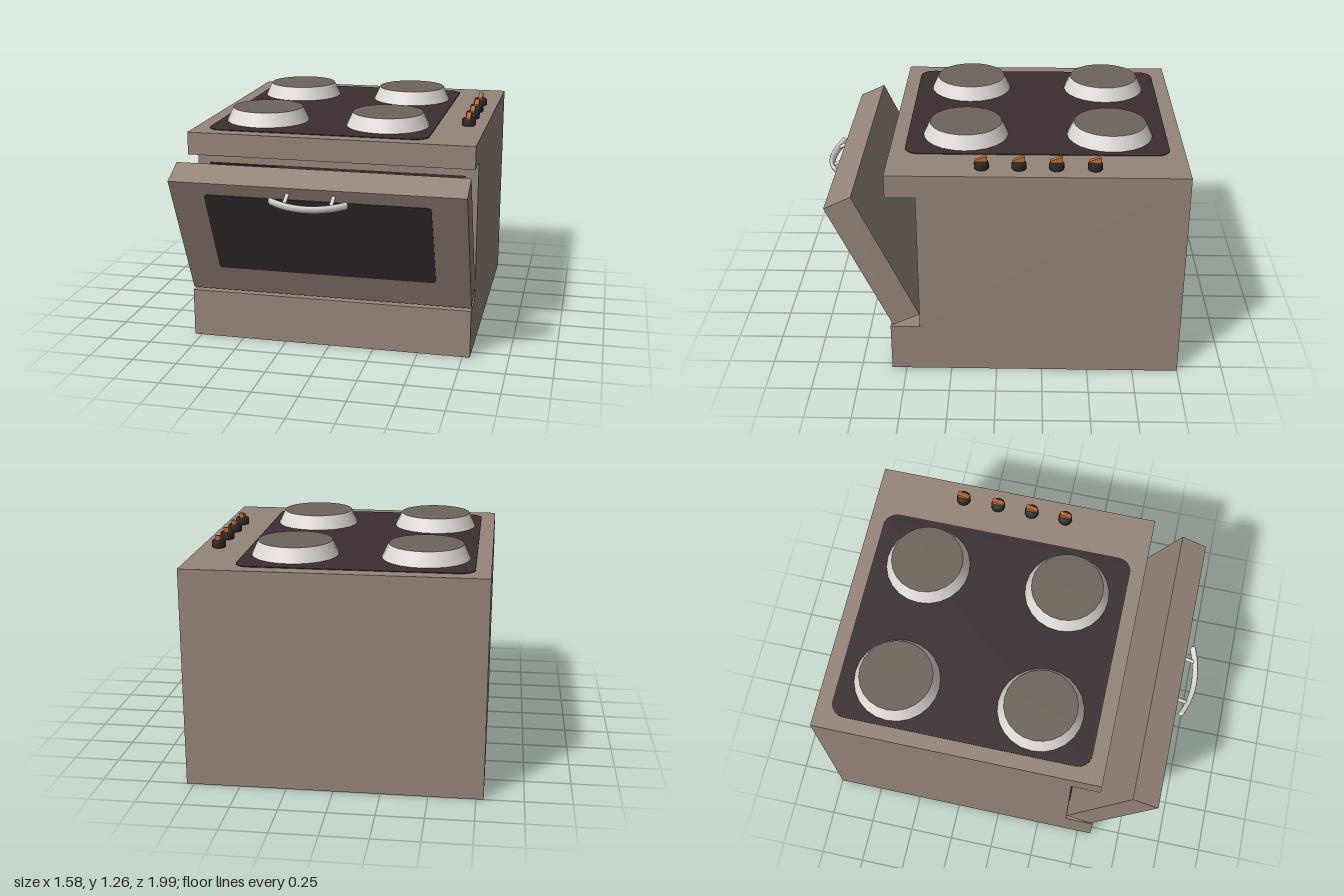
import * as THREE from 'three';

const mat = (name, color, side = THREE.FrontSide) => {
  const m = new THREE.MeshStandardMaterial({ color, side });
  m.name = name;
  return m;
};

// Rounded rectangle outline
function roundedRect(x0, y0, x1, y1, r) {
  const s = new THREE.Shape();
  s.absarc(x1 - r, y1 - r, r, 0, Math.PI / 2);
  s.absarc(x0 + r, y1 - r, r, Math.PI / 2, Math.PI);
  s.absarc(x0 + r, y0 + r, r, Math.PI, Math.PI * 1.5);
  s.absarc(x1 - r, y0 + r, r, Math.PI * 1.5, Math.PI * 2);
  return s;
}

export function createModel() {
  const enamel = mat('brown enamel', 0x968579, THREE.DoubleSide);
  const dark = mat('dark glass', 0x3a2e30, THREE.DoubleSide);
  const metal = mat('pale metal', 0xe0dcd7);
  const plate = mat('hot plate', 0x6e655c);
  const black = mat('knob black', 0x2c2727);
  const orange = mat('knob orange', 0xc06c36);

  const model = new THREE.Group();
  const add = (parent, name, geometry, material, x = 0, y = 0, z = 0) => {
    const m = new THREE.Mesh(geometry, material);
    m.name = name;
    m.position.set(x, y, z);
    parent.add(m);
    return m;
  };

  // Sheet-metal shell swept across x from a [z, y] profile, with both side walls
  function shell(name, profile, hw, material, skip = -1) {
    const group = new THREE.Group();
    group.name = name;
    for (let i = 0; i < profile.length - 1; i++) {
      if (i === skip) continue;
      const [az, ay] = profile[i], [bz, by] = profile[i + 1];
      const g = new THREE.BufferGeometry();
      g.setAttribute('position', new THREE.Float32BufferAttribute(
        [hw, ay, az, -hw, ay, az, -hw, by, bz, hw, by, bz], 3));
      g.setIndex([0, 1, 2, 0, 2, 3]);
      g.computeVertexNormals();
      add(group, name + 'Panel', g, material);
    }
    for (const s of [1, -1]) {
      const outline = new THREE.Shape(profile.map(([z, y]) => new THREE.Vector2(-s * z, y)));
      const g = new THREE.ShapeGeometry(outline).rotateY(s * Math.PI / 2);
      add(group, name + 'Side', g, material, s * hw);
    }
    model.add(group);
  }

  // Body, open underneath, with a notch for the door
  const top = 1.185, W = 0.79;
  shell('body', [[-1, 0], [-1, top], [0.58, top], [0.58, 1.06], [0.42, 1.06],
    [0.42, 0.27], [0.58, 0.27], [0.58, 0], [0.42, 0]], W, enamel, 4);

  // Front frame around the oven opening
  const frame = roundedRect(-W, 0.27, W, 1.06, 0.0001);
  frame.holes.push(new THREE.Path([[-0.72, 0.355], [-0.72, 0.98], [0.72, 0.98], [0.72, 0.355]]
    .map(p => new THREE.Vector2(...p))));
  add(model, 'ovenFrame', new THREE.ShapeGeometry(frame), enamel, 0, 0, 0.42);

  // Oven cavity
  shell('ovenCavity', [[0.42, 0.98], [-0.93, 0.98], [-0.93, 0.355], [0.42, 0.355]], 0.72, dark);

  // Glass cooktop
  const glass = new THREE.ExtrudeGeometry(roundedRect(-0.71, -0.5, 0.52, 0.92, 0.08),
    { depth: 0.004, bevelEnabled: false, curveSegments: 4 }).rotateX(-Math.PI / 2);
  add(model, 'cooktop', glass, dark, 0, top, 0);

  // Burners
  for (const x of [-0.445, 0.25]) for (const z of [-0.61, 0.18]) {
    add(model, 'burner', new THREE.CylinderGeometry(0.198, 0.235, 0.08, 24),
      [metal, plate, metal], x, top + 0.04, z);
  }

  // Control knobs with a sloping pointer
  const wedge = new THREE.Shape([[-0.034, 0.03], [0.03, 0.03], [0.03, 0.07], [0.015, 0.07], [-0.034, 0.05]]
    .map(p => new THREE.Vector2(...p)));
  const pointer = new THREE.ExtrudeGeometry(wedge, { depth: 0.026, bevelEnabled: false })
    .translate(0, 0, -0.013).rotateY(Math.PI / 2);
  const knobProfile = [[0.034, 0], [0.039, 0.006], [0.039, 0.033], [0.033, 0.042], [0, 0.042]]
    .map(p => new THREE.Vector2(...p));
  for (const z of [-0.51, -0.31, -0.115, 0.08]) {
    const knob = new THREE.Group();
    knob.name = 'knob';
    knob.position.set(0.69, top, z);
    add(knob, 'knobBase', new THREE.LatheGeometry(knobProfile, 16), black);
    add(knob, 'knobPointer', pointer, orange);
    model.add(knob);
  }

  // Door, hinged at its lower back edge and hanging ajar
  const door = new THREE.Group();
  door.name = 'door';
  door.position.set(0, 0.35, 0.42);
  door.rotation.x = 0.441;
  model.add(door);
  add(door, 'doorPanel', new THREE.BoxGeometry(2 * W, 0.785, 0.16), enamel, 0, 0.3925, 0.08);
  add(door, 'doorWindow', new THREE.ExtrudeGeometry(roundedRect(-0.605, 0.177, 0.605, 0.708, 0.02),
    { depth: 0.004, bevelEnabled: false, curveSegments: 4 }), dark, 0, 0, 0.16);

  // Curved handle bar on two posts
  const handle = new THREE.Group();
  handle.name = 'handle';
  handle.position.set(-0.022, 0.74, 0);
  door.add(handle);
  const arc = new THREE.QuadraticBezierCurve3(new THREE.Vector3(-0.198, 0, 0.218),
    new THREE.Vector3(0, 0, 0.312), new THREE.Vector3(0.198, 0, 0.218));
  add(handle, 'handleBar', new THREE.TubeGeometry(arc, 20, 0.013, 10), metal).scale.y = 1.8;
  for (const s of [1, -1]) {
    add(handle, 'handleEnd', new THREE.SphereGeometry(0.013, 10, 8), metal, s * 0.198, 0, 0.218).scale.y = 1.8;
    add(handle, 'handlePost', new THREE.CylinderGeometry(0.011, 0.011, 0.1, 10).rotateX(Math.PI / 2),
      metal, s * 0.123, 0, 0.2);
  }
  return model;
}
